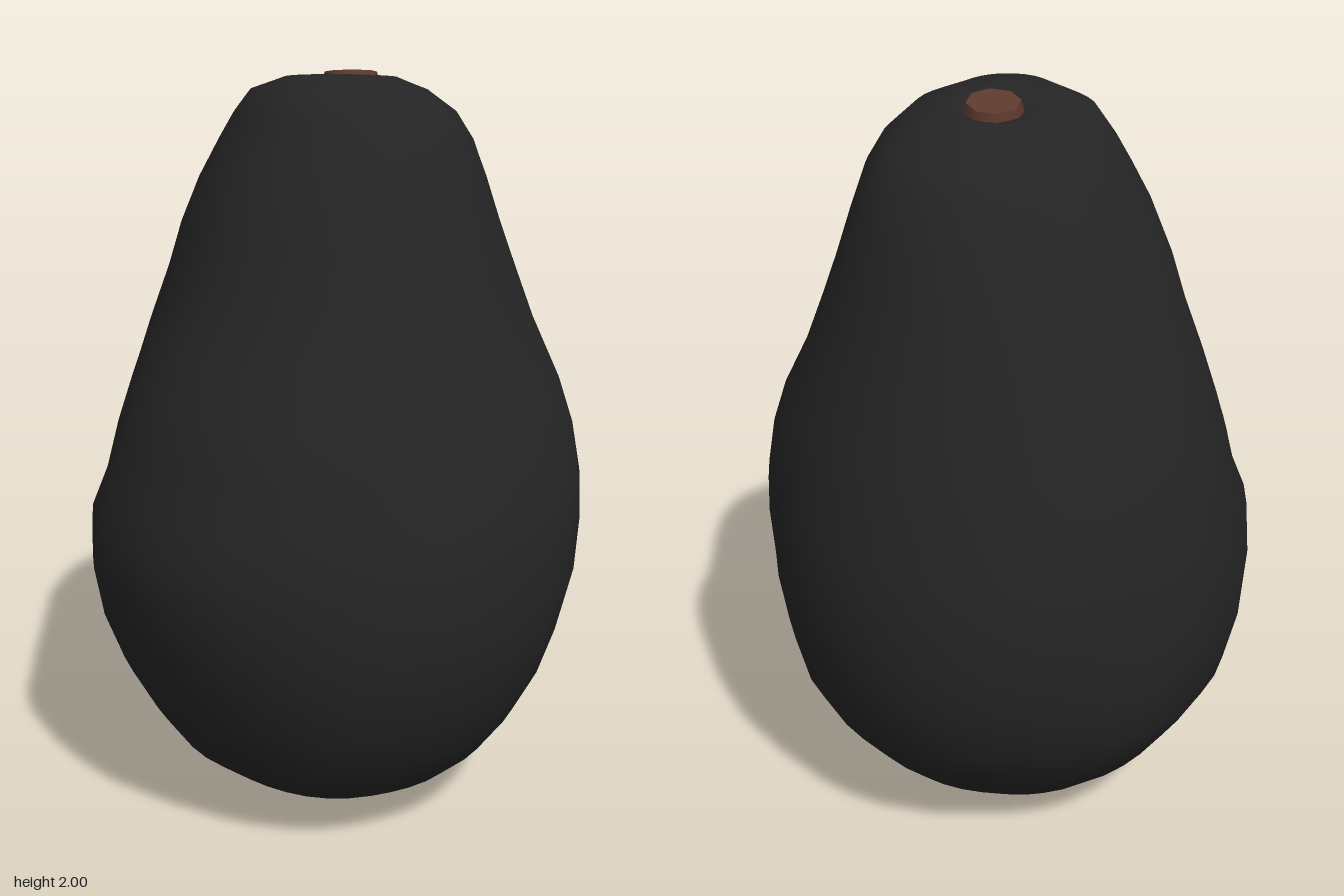
import * as THREE from 'three';

// Skin cross-sections: height, left/right reach in x, back/front reach in z, rim tilt
const RINGS = [
  [0.005, 0.02, 0.13, -0.06, 0.05, 0],
  [0.015, -0.03, 0.19, -0.14, 0.14, 0],
  [0.06, -0.17, 0.29, -0.29, 0.25, 0],
  [0.12, -0.35, 0.38, -0.38, 0.37, 0],
  [0.2, -0.45, 0.46, -0.47, 0.46, 0],
  [0.3, -0.52, 0.54, -0.54, 0.53, 0],
  [0.42, -0.58, 0.605, -0.61, 0.59, 0],
  [0.56, -0.63, 0.64, -0.64, 0.635, 0],
  [0.7, -0.655, 0.66, -0.655, 0.66, 0],
  [0.85, -0.66, 0.66, -0.65, 0.66, 0],
  [0.95, -0.615, 0.645, -0.64, 0.65, 0],
  [1.08, -0.585, 0.625, -0.615, 0.615, 0],
  [1.2, -0.54, 0.595, -0.585, 0.57, 0],
  [1.34, -0.475, 0.55, -0.54, 0.495, 0],
  [1.48, -0.41, 0.505, -0.49, 0.445, 0],
  [1.6, -0.375, 0.47, -0.44, 0.4, 0],
  [1.72, -0.33, 0.435, -0.385, 0.355, 0],
  [1.82, -0.275, 0.39, -0.34, 0.32, 0],
  [1.89, -0.235, 0.34, -0.3, 0.28, 0],
  [1.95, -0.2, 0.25, -0.235, 0.225, 0.01],
  [1.98, -0.12, 0.18, -0.14, 0.13, 0.02],
  [1.97, -0.04, 0.15, -0.1, 0.07, 0.015],
  [1.95, 0.03, 0.13, -0.07, 0.02, 0.01],
];
const SEGMENTS = 40;

// Smooth closed skin lofted through the cross-sections
function skinGeometry() {
  const points = [], faces = [];
  RINGS.forEach(([y, x0, x1, z0, z1, tilt]) => {
    const cx = (x0 + x1) / 2, cz = (z0 + z1) / 2;
    for (let i = 0; i < SEGMENTS; i++) {
      const a = (i / SEGMENTS) * Math.PI * 2, c = Math.cos(a), s = Math.sin(a);
      // gentle lumps that vanish on the axes, so the reaches stay true
      const lump = 1 + 0.025 * Math.sin(2 * a) ** 2 * Math.sin(3 * a + y * 5);
      points.push(
        cx + ((x1 - x0) / 2) * c * lump,
        y - tilt * (c - s) * 0.8,
        cz + ((z1 - z0) / 2) * s * lump,
      );
    }
  });
  const last = RINGS.length - 1;
  for (let r = 0; r < last; r++) {
    for (let i = 0; i < SEGMENTS; i++) {
      const j = (i + 1) % SEGMENTS;
      const a = r * SEGMENTS + i, b = r * SEGMENTS + j;
      faces.push(a, a + SEGMENTS, b, b, a + SEGMENTS, b + SEGMENTS);
    }
  }
  // centre points closing the base and the stem hollow
  const base = points.length / 3;
  points.push(0.075, 0, 0, 0.08, 1.95, -0.025);
  for (let i = 0; i < SEGMENTS; i++) {
    const j = (i + 1) % SEGMENTS;
    faces.push(base, i, j, base + 1, last * SEGMENTS + j, last * SEGMENTS + i);
  }
  const geometry = new THREE.BufferGeometry();
  geometry.setAttribute('position', new THREE.Float32BufferAttribute(points, 3));
  geometry.setIndex(faces);
  geometry.computeVertexNormals();
  return geometry;
}

export function createModel() {
  const model = new THREE.Group();
  model.name = 'avocado';
  const skinDark = new THREE.MeshStandardMaterial({ color: 0x252525 });
  skinDark.name = 'darkSkin';
  const stemBrown = new THREE.MeshStandardMaterial({ color: 0x5e3a2e });
  stemBrown.name = 'stemBrown';

  const skin = new THREE.Mesh(skinGeometry(), skinDark);
  skin.name = 'skin';

  // Broken-off stem sitting in the hollow, leaning to the right and back
  const stem = new THREE.Mesh(new THREE.CylinderGeometry(0.068, 0.082, 0.05, 8), stemBrown);
  stem.name = 'stem';
  stem.position.set(0.08, 1.963, -0.028);
  stem.rotation.set(-0.12, 0.2, -0.12);

  model.add(skin, stem);
  return model;
}
